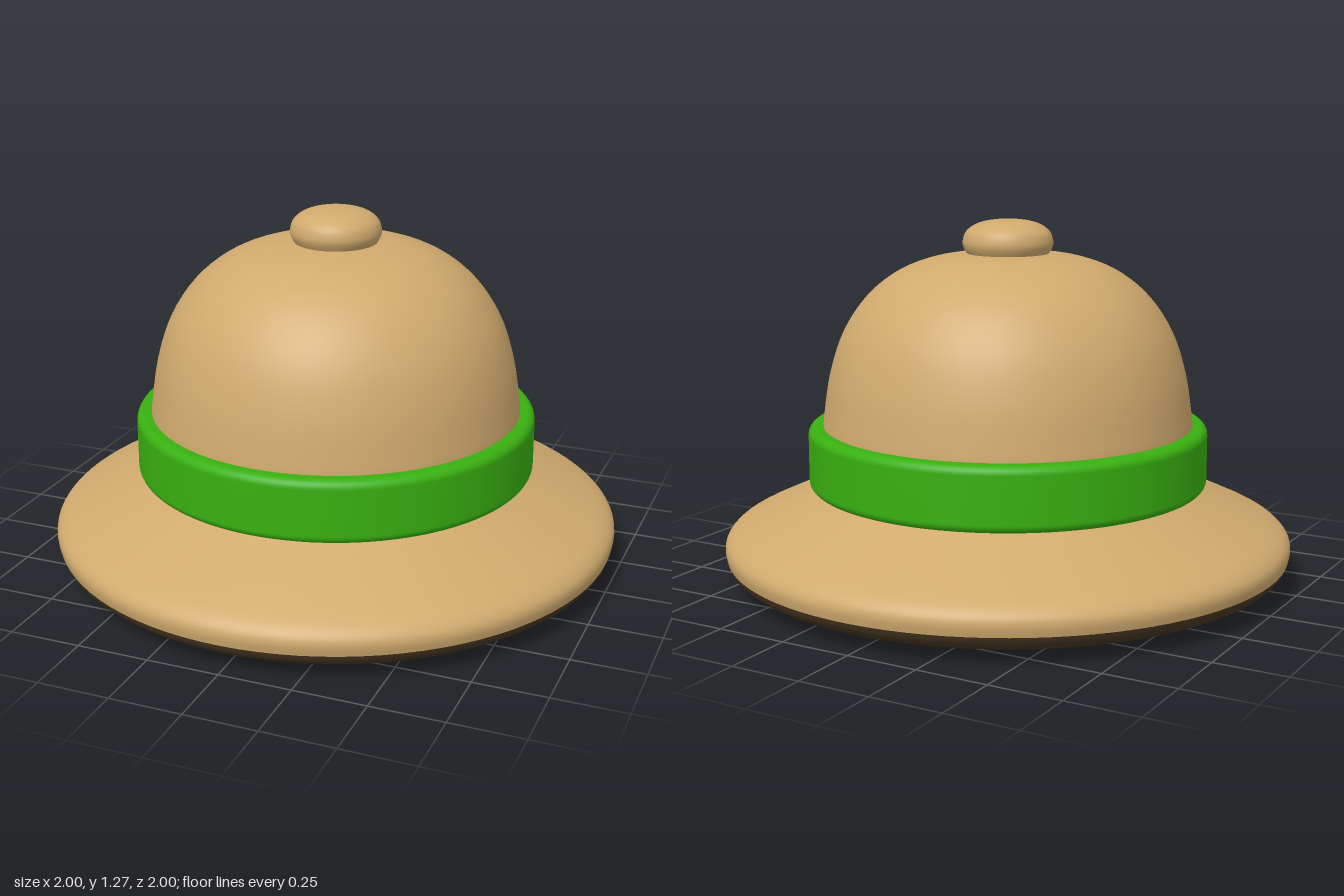
import * as THREE from 'three';

const tan = new THREE.MeshStandardMaterial({ color: 0xd0aa6e });
tan.name = 'tan cloth';
const green = new THREE.MeshStandardMaterial({ color: 0x38b010 });
green.name = 'green band';
const brown = new THREE.MeshStandardMaterial({ color: 0x45341f });
brown.name = 'dark brown lining';

// Smooth surface of revolution; the profile runs from bottom to top
function turned(name, profile, material, steps = 28) {
  const curve = new THREE.SplineCurve(profile.map(([r, y]) => new THREE.Vector2(r, y)));
  const points = curve.getPoints(steps).map(p => new THREE.Vector2(Math.max(p.x, 0), p.y));
  const mesh = new THREE.Mesh(new THREE.LatheGeometry(points, 96), material);
  mesh.name = name;
  return mesh;
}

// Band cross-section: rectangle with rounded corners
function bandProfile(inner, outer, bottom, top, radius) {
  const points = [new THREE.Vector2(inner, bottom)];
  for (const [y, start] of [[bottom + radius, -Math.PI / 2], [top - radius, 0]]) {
    for (let i = 0; i <= 6; i++) {
      const a = start + (i / 6) * Math.PI / 2;
      points.push(new THREE.Vector2(outer - radius + radius * Math.cos(a), y + radius * Math.sin(a)));
    }
  }
  points.push(new THREE.Vector2(inner, top));
  return points;
}

export function createModel() {
  const hat = new THREE.Group();
  hat.name = 'sunHat';

  // Closed dark underside, curling up to the rim
  hat.add(turned('underside',
    [[0, 0], [0.35, 0], [0.68, 0.004], [0.84, 0.018], [0.94, 0.045], [0.98, 0.072], [0.994, 0.1]], brown));

  // Sloping brim with a rounded edge
  hat.add(turned('brim',
    [[0.994, 0.1], [1, 0.135], [0.99, 0.165], [0.955, 0.195], [0.87, 0.236], [0.76, 0.286], [0.66, 0.332], [0.63, 0.355]], tan));

  // Rounded crown
  hat.add(turned('crown',
    [[0.655, 0.34], [0.652, 0.52], [0.645, 0.6], [0.622, 0.74], [0.575, 0.88], [0.495, 1], [0.39, 1.085],
      [0.27, 1.133], [0.14, 1.153], [0, 1.158]], tan, 40));

  // Band around the crown
  const band = new THREE.Mesh(
    new THREE.LatheGeometry(bandProfile(0.63, 0.702, 0.335, 0.556, 0.03), 96), green);
  band.name = 'band';
  hat.add(band);

  // Top button
  hat.add(turned('button',
    [[0.135, 1.14], [0.153, 1.17], [0.157, 1.195], [0.145, 1.228], [0.11, 1.253], [0.06, 1.266], [0, 1.27]], tan));

  return hat;
}
